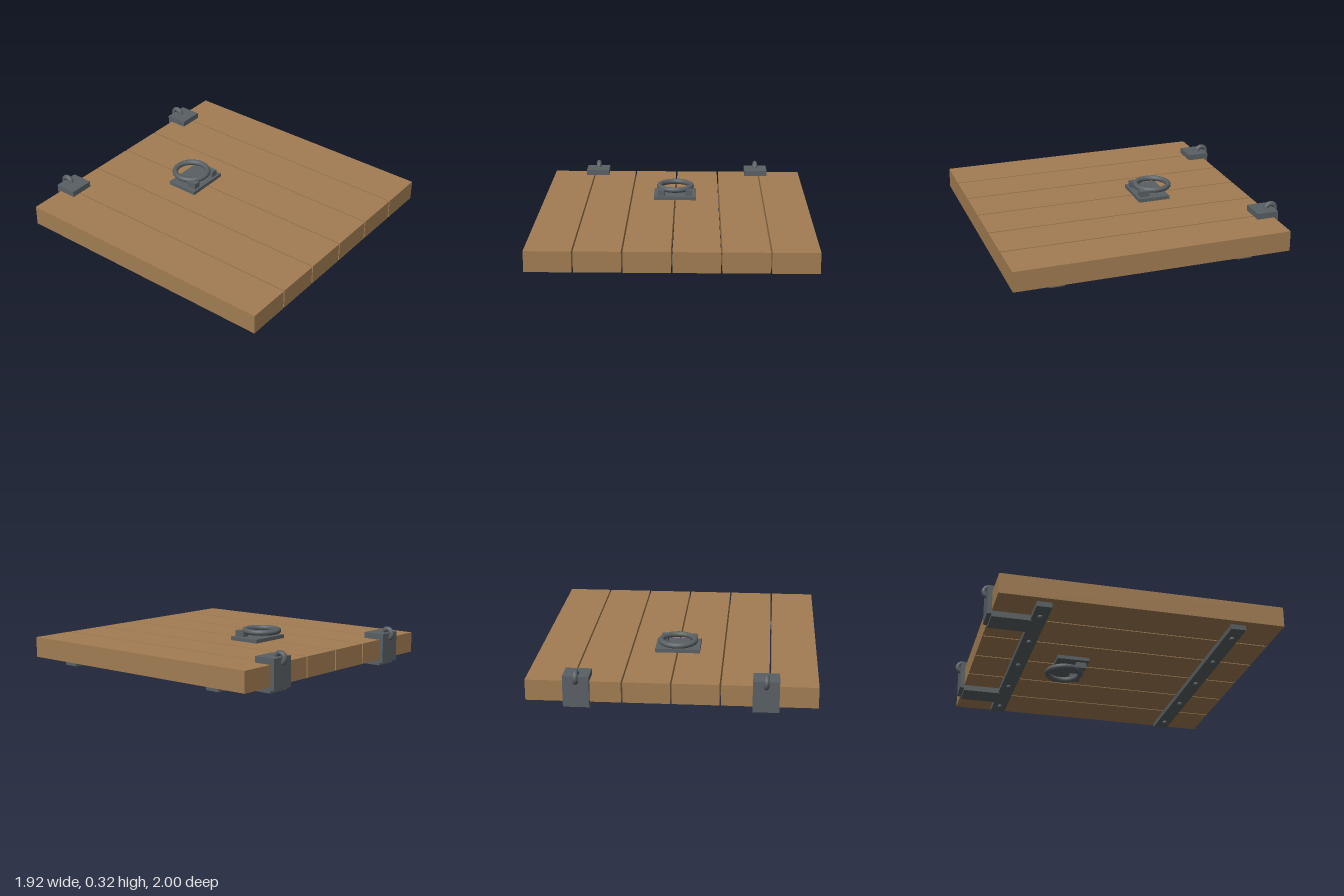
import * as THREE from 'three';

export function createModel() {
  const model = new THREE.Group();
  model.name = 'trapdoor';
  const wood = new THREE.MeshStandardMaterial({ color: 0xa27d52 });
  wood.name = 'oak wood';
  const iron = new THREE.MeshStandardMaterial({ color: 0x596064 });
  iron.name = 'dark iron';

  const add = (name, geometry, material, x, y, z, parent = model) => {
    const mesh = new THREE.Mesh(geometry, material);
    mesh.name = name;
    mesh.position.set(x, y, z);
    parent.add(mesh);
    return mesh;
  };
  // Box given by its limits on each axis
  const block = (name, [x0, x1], [y0, y1], [z0, z1], parent, material = iron) =>
    add(name, new THREE.BoxGeometry(x1 - x0, y1 - y0, z1 - z0), material,
      (x0 + x1) / 2, (y0 + y1) / 2, (z0 + z1) / 2, parent);

  // Six planks with narrow gaps
  for (let i = 0; i < 6; i++) {
    const x = (i - 2.5) * 0.3215;
    block('plank', [x - 0.1555, x + 0.1555], [0.09, 0.233], [-0.937, 0.997], model, wood);
  }

  // Iron battens under the planks, with round rivet heads
  const rivet = new THREE.SphereGeometry(0.018, 16, 10);
  for (const z of [0.692, -0.627]) {
    block('batten', [-0.908, 0.908], [0.055, 0.09], [z - 0.052, z + 0.052]);
    for (let i = -2; i <= 2; i++) add('rivet', rivet, iron, i * 0.387, 0.048, z);
  }

  // Hinge brackets wrapped around the back edge, each with an eye ring
  for (const side of [-1, 1]) {
    const hinge = new THREE.Group();
    hinge.name = 'hinge';
    hinge.position.x = side * 0.619;
    model.add(hinge);
    const w = [-0.087, 0.087];
    block('hingeTop', w, [0.233, 0.275], [-0.967, -0.812], hinge);
    block('hingeBack', w, [0.068, 0.233], [-0.967, -0.937], hinge);
    block('hingeStrap', w, [0.049, 0.09], [-0.937, -0.67], hinge);
    const eye = add('hingeEye', new THREE.TorusGeometry(0.034, 0.018, 12, 28), iron, 0, 0.267, -0.948, hinge);
    eye.rotation.y = Math.PI / 2;
  }

  // Ring pulls above and below: plate, two lugs and a ring
  for (const side of [1, -1]) {
    const pull = new THREE.Group();
    pull.name = side > 0 ? 'upperPull' : 'lowerPull';
    pull.position.set(0, side > 0 ? 0.233 : 0.09, -0.298);
    if (side < 0) pull.rotation.z = Math.PI;
    model.add(pull);
    block('pullPlate', [-0.155, 0.155], [0, 0.026], [-0.078, 0.151], pull);
    for (const s of [-1, 1]) {
      block('pullLug', [s * 0.1 - 0.024, s * 0.1 + 0.024], [0.026, 0.068], [0.062, 0.135], pull);
    }
    const ring = add('pullRing', new THREE.TorusGeometry(0.118, 0.02, 14, 48), iron, 0, 0.067, 0, pull);
    ring.rotation.x = Math.PI / 2;
  }

  return model;
}
